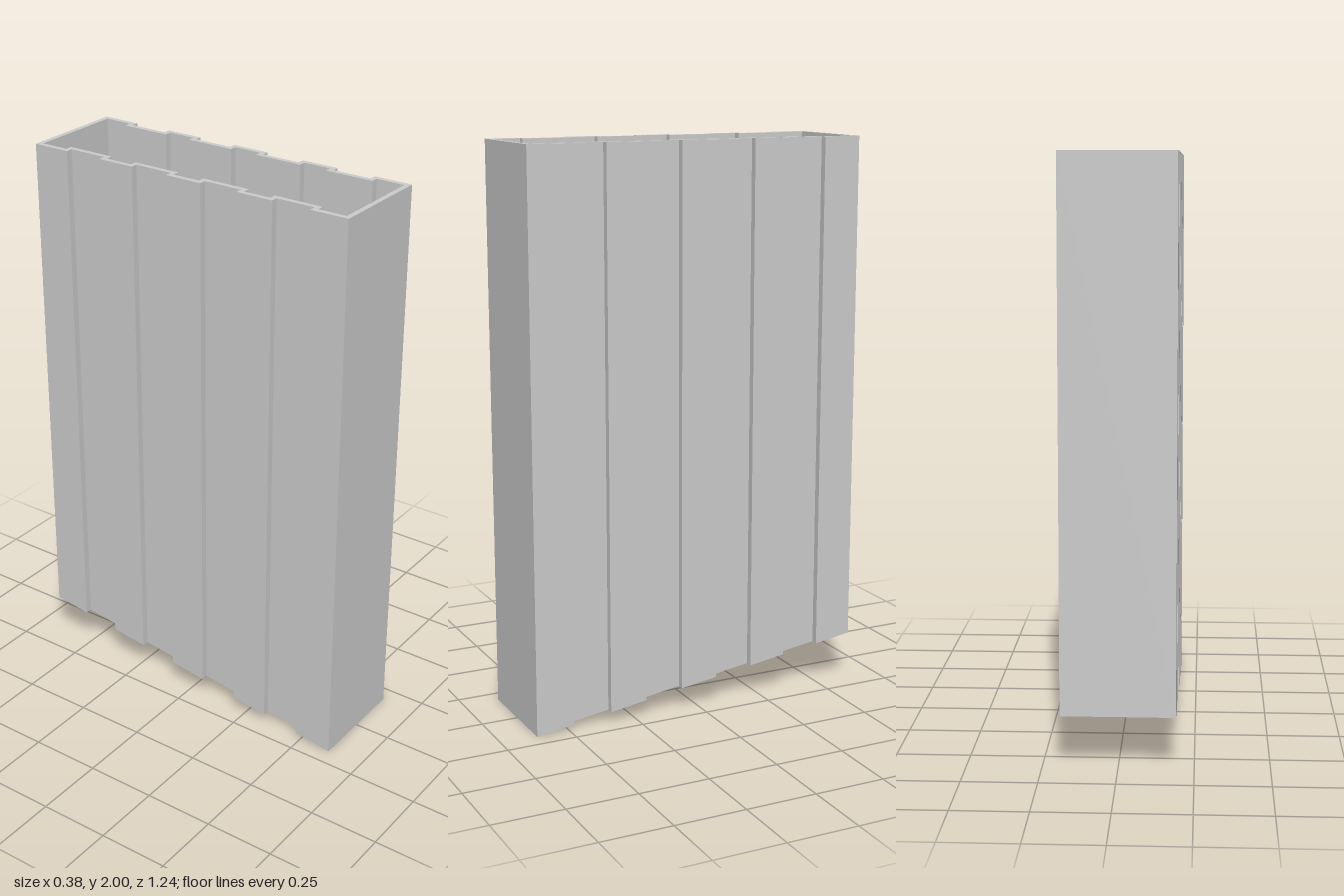
import * as THREE from 'three';

const HEIGHT = 2, HALF_W = 0.19, HALF_L = 0.62, RISE = 0.18;
const GROOVE_DEPTH = 0.025, GROOVE_HALF = 0.07, WALL = 0.018;
const GROOVES = [-0.413, -0.138, 0.138, 0.413];

// Grooved rectangular outline, moved inwards by d
function outline(d) {
  const side = [[HALF_W - d, -HALF_L + d]];
  for (const c of GROOVES) {
    const a = c - GROOVE_HALF - d, b = c + GROOVE_HALF + d;
    const outer = HALF_W - d, inner = outer - GROOVE_DEPTH;
    side.push([outer, a], [inner, a], [inner, b], [outer, b]);
  }
  side.push([HALF_W - d, HALF_L - d]);
  const mirrored = side.map(([x, y]) => [-x, y]).reverse();
  return [...side, ...mirrored].map(([x, y]) => new THREE.Vector2(x, y));
}

// Height of the sloping underside
const slope = (z) => RISE * (HALF_L - z) / (2 * HALF_L);

// Upright extrusion with sloping bottom; topAt gives the height of the upper end
function prism(name, shape, topAt, material) {
  const geo = new THREE.ExtrudeGeometry(shape, { depth: 1, bevelEnabled: false });
  geo.rotateX(-Math.PI / 2);
  const p = geo.attributes.position;
  for (let i = 0; i < p.count; i++) {
    const z = p.getZ(i);
    p.setY(i, p.getY(i) > 0.5 ? topAt(z) : slope(z));
  }
  geo.computeVertexNormals();
  const mesh = new THREE.Mesh(geo, material);
  mesh.name = name;
  return mesh;
}

export function createModel() {
  const group = new THREE.Group();
  group.name = 'groovedBin';
  const material = new THREE.MeshStandardMaterial({ color: 0xcccccc });

  // Thin grooved walls, open at the top
  const wallShape = new THREE.Shape(outline(0));
  wallShape.holes.push(new THREE.Path(outline(WALL)));
  group.add(prism('walls', wallShape, () => HEIGHT, material));

  // Sloping floor closing the bottom
  group.add(prism('floor', new THREE.Shape(outline(WALL)), (z) => slope(z) + WALL, material));

  return group;
}
